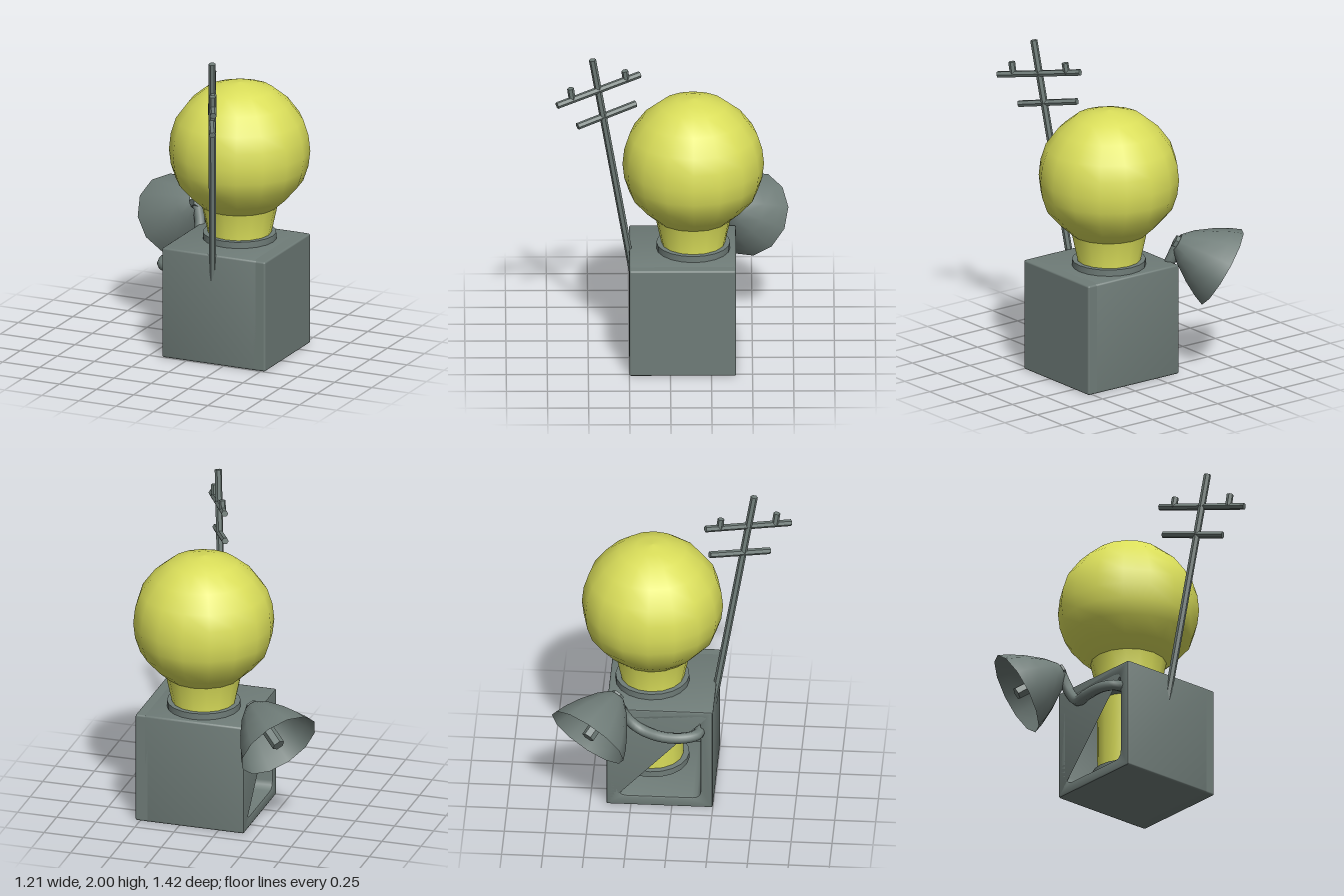
import * as THREE from 'three';
import { RoundedBoxGeometry } from 'three/addons/geometries/RoundedBoxGeometry.js';
import { toCreasedNormals } from 'three/addons/utils/BufferGeometryUtils.js';

const V = (x, y, z) => new THREE.Vector3(x, y, z);
const UP = V(0, 1, 0);

// Rounded rectangle traced into a Shape or Path
function roundRect(path, x0, y0, x1, y1, r) {
  path.moveTo(x0 + r, y0);
  path.lineTo(x1 - r, y0);
  path.quadraticCurveTo(x1, y0, x1, y0 + r);
  path.lineTo(x1, y1 - r);
  path.quadraticCurveTo(x1, y1, x1 - r, y1);
  path.lineTo(x0 + r, y1);
  path.quadraticCurveTo(x0, y1, x0, y1 - r);
  path.lineTo(x0, y0 + r);
  path.quadraticCurveTo(x0, y0, x0 + r, y0);
  return path;
}

export function createModel() {
  const model = new THREE.Group();
  model.name = 'lampBox';

  const metal = new THREE.MeshStandardMaterial({ color: 0x6f7c78 });
  metal.name = 'greyMetal';
  const hornMetal = metal.clone();
  hornMetal.side = THREE.DoubleSide;
  const glass = new THREE.MeshStandardMaterial({ color: 0xdade5a });
  glass.name = 'yellowGlass';

  function add(name, geometry, material = metal, parent = model) {
    const mesh = new THREE.Mesh(geometry, material);
    mesh.name = name;
    parent.add(mesh);
    return mesh;
  }

  // Straight rod between two points
  function rod(name, a, b, r, parent, sides = 6) {
    const geo = toCreasedNormals(new THREE.CylinderGeometry(r, r, a.distanceTo(b), sides), 0.6);
    const mesh = add(name, geo, metal, parent);
    mesh.position.copy(a).add(b).multiplyScalar(0.5);
    mesh.quaternion.setFromUnitVectors(UP, b.clone().sub(a).normalize());
    return mesh;
  }

  // Hollow box, open on the -x side
  const outline = roundRect(new THREE.Shape(), -0.25, 0, 0.4, 0.7, 0.012);
  outline.holes.push(roundRect(new THREE.Path(), -0.175, 0.07, 0.325, 0.63, 0.05));
  const bevel = 0.012;
  const shell = new THREE.ExtrudeGeometry(outline, {
    depth: 0.62, curveSegments: 3,
    bevelEnabled: true, bevelSize: bevel, bevelThickness: bevel, bevelOffset: -bevel, bevelSegments: 2,
  });
  shell.rotateY(Math.PI / 2).translate(-0.165 + bevel, 0, 0);
  add('boxShell', toCreasedNormals(shell, 0.7));
  const wall = add('boxEndWall', new RoundedBoxGeometry(0.09, 0.7, 0.65, 2, 0.012));
  wall.position.set(0.485, 0.35, -0.075);

  // Bulb with a neck that runs down into the box
  const bulb = new THREE.Group();
  bulb.name = 'bulb';
  bulb.position.set(0.175, 0, -0.14);
  model.add(bulb);
  const neck = [[0.19, 0.17], [0.195, 0.74], [0.232, 0.91]];
  const globe = [[0.232, 0.91], [0.305, 0.975], [0.388, 1.07], [0.42, 1.165], [0.431, 1.26],
    [0.42, 1.36], [0.388, 1.46], [0.31, 1.565], [0.205, 1.65], [0.1, 1.683], [0, 1.695]];
  const lathe = (pts, n) => new THREE.LatheGeometry(pts.map(([r, y]) => new THREE.Vector2(r, y)), n);
  add('bulbNeck', lathe(neck, 16), glass, bulb);
  add('bulbGlobe', lathe(globe, 16), glass, bulb);
  for (const [name, y, h] of [['topCollar', 0.715, 0.05], ['innerCollar', 0.15, 0.04]]) {
    add(name, toCreasedNormals(new THREE.CylinderGeometry(0.225, 0.225, h, 20), 0.6), metal, bulb)
      .position.y = y;
  }

  // Horn opening down, back and to the side
  const horn = new THREE.Group();
  horn.name = 'horn';
  horn.position.set(-0.2, 0.82, -0.335);
  horn.quaternion.setFromUnitVectors(UP, V(-0.69, -0.51, -0.51).normalize());
  model.add(horn);
  add('hornBell', lathe([[0.055, 0], [0.115, 0.06], [0.185, 0.16], [0.235, 0.25], [0.262, 0.316]], 12),
    hornMetal, horn);
  rod('hornCore', V(0, -0.02, 0), V(0, 0.315, 0), 0.04, horn);

  // Bent pipe carrying the horn
  const path = new THREE.CatmullRomCurve3([
    V(-0.12, 0.555, 0.17), V(-0.19, 0.555, 0.16), V(-0.235, 0.555, 0.08), V(-0.23, 0.555, -0.06),
    V(-0.18, 0.58, -0.2), V(-0.165, 0.67, -0.29), V(-0.205, 0.815, -0.34),
  ]);
  add('hornPipe', new THREE.TubeGeometry(path, 28, 0.034, 8));

  // Leaning aerial with two crossbars and two pegs
  const aerial = new THREE.Group();
  aerial.name = 'aerial';
  model.add(aerial);
  rod('mast', V(0.157, 0.4, 0.207), V(0.28, 2.0, 0.474), 0.022, aerial);
  rod('upperCrossbar', V(0.145, 1.842, 0.185), V(0.39, 1.745, 0.69), 0.021, aerial);
  rod('lowerCrossbar', V(0.15, 1.65, 0.21), V(0.325, 1.577, 0.565), 0.021, aerial);
  rod('innerPeg', V(0.185, 1.82, 0.268), V(0.192, 1.888, 0.277), 0.021, aerial);
  rod('outerPeg', V(0.342, 1.765, 0.598), V(0.347, 1.84, 0.608), 0.021, aerial);

  return model;
}
